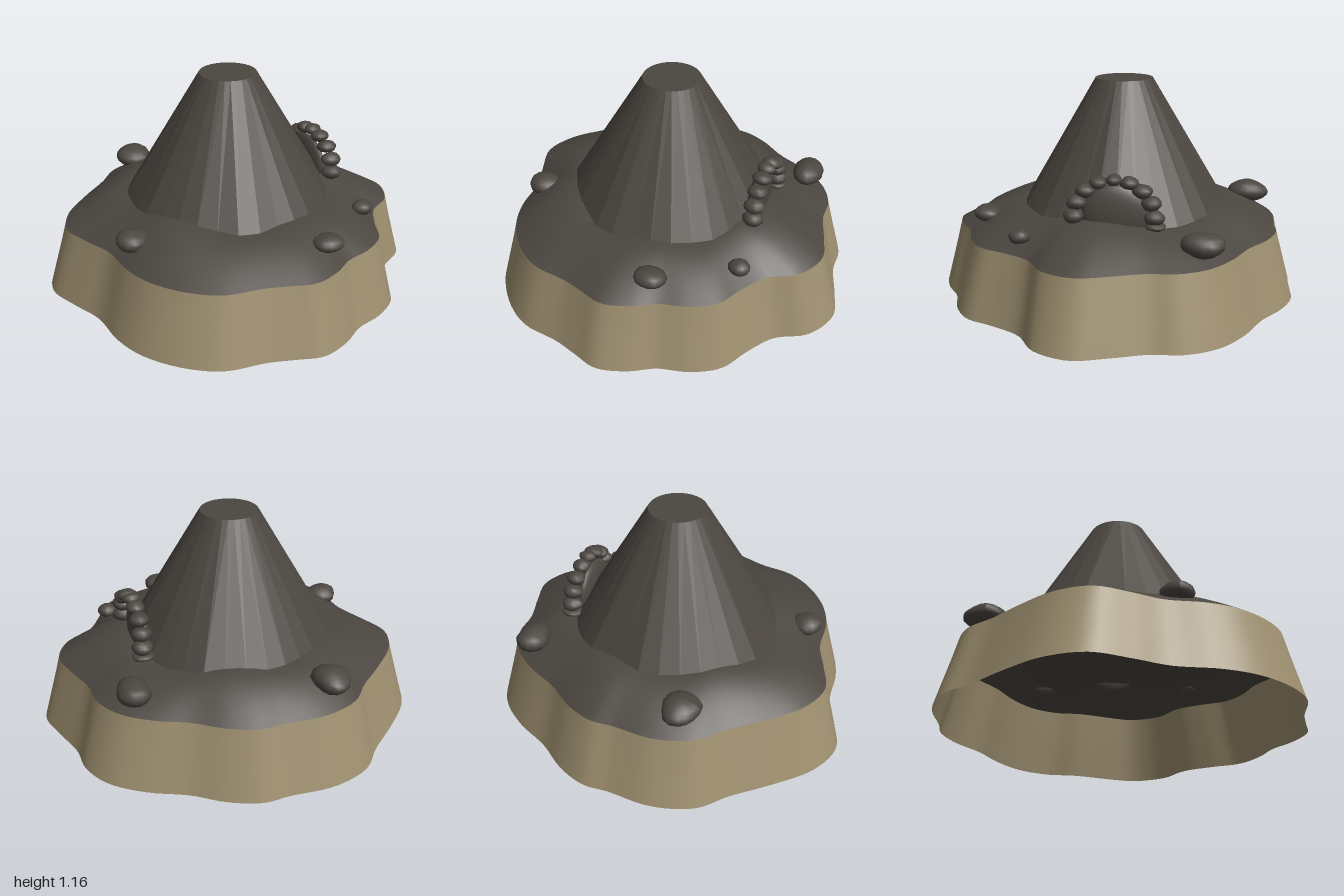
import * as THREE from 'three';

const SEG = 144;
const CX = -0.02, CZ = -0.045; // axis of the volcano

// Coastline control points (x, z), counter-clockwise seen from above
const coast = [
  0, -0.96, -0.235, -0.97, -0.45, -0.9, -0.58, -0.765, -0.77, -0.6, -0.93, -0.43, -1, -0.24,
  -0.945, -0.05, -0.877, 0.13, -0.86, 0.35, -0.8, 0.535, -0.66, 0.72, -0.5, 0.83, -0.29, 0.87,
  -0.155, 0.915, -0.02, 0.957, 0.14, 0.915, 0.27, 0.84, 0.43, 0.797, 0.57, 0.71, 0.65, 0.56,
  0.75, 0.41, 0.91, 0.31, 0.995, 0.13, 0.957, -0.05, 0.9, -0.24, 0.89, -0.4, 0.81, -0.56,
  0.65, -0.69, 0.46, -0.785, 0.3, -0.9, 0.14, -0.963,
];

function coastRing() {
  const pts = [];
  for (let i = 0; i < coast.length; i += 2) pts.push(new THREE.Vector3(coast[i], 0, coast[i + 1]));
  return new THREE.CatmullRomCurve3(pts, true).getPoints(SEG).slice(0, SEG);
}

// Smooth surface through closed rings of equal point count
function loft(rings) {
  const n = rings[0].length, pos = [], index = [];
  rings.forEach((ring) => ring.forEach((p) => pos.push(p.x, p.y, p.z)));
  for (let i = 0; i < rings.length - 1; i++) {
    for (let j = 0; j < n; j++) {
      const k = (j + 1) % n, a = i * n + j, b = i * n + k;
      index.push(a, b, b + n, a, b + n, a + n);
    }
  }
  const g = new THREE.BufferGeometry();
  g.setAttribute('position', new THREE.Float32BufferAttribute(pos, 3));
  g.setIndex(index);
  g.computeVertexNormals();
  return g;
}

export function createModel() {
  const group = new THREE.Group();
  const sand = new THREE.MeshStandardMaterial({ color: 0x9f9070, side: THREE.DoubleSide });
  sand.name = 'sand';
  const basalt = new THREE.MeshStandardMaterial({ color: 0x4b4640, side: THREE.DoubleSide });
  basalt.name = 'basalt';
  const facetedBasalt = basalt.clone();
  facetedBasalt.name = 'faceted basalt';
  facetedBasalt.flatShading = true;

  const add = (name, geometry, material, parent = group) => {
    const mesh = new THREE.Mesh(geometry, material);
    mesh.name = name;
    parent.add(mesh);
    return mesh;
  };

  // Sandy cliff: open wavy wall that narrows upwards
  const shore = coastRing();
  const wallRing = (s, y) => shore.map((p) => new THREE.Vector3(p.x * s, y, p.z * s));
  add('cliffWall', loft([wallRing(1, 0), wallRing(0.965, 0.125), wallRing(0.93, 0.25), wallRing(0.9, 0.365)]), sand);

  // Rocky ground: from the cliff edge up to a circle hidden in the cone
  const ground = [];
  for (let i = 0; i <= 10; i++) {
    const t = i / 10;
    ground.push(shore.map((p) => {
      const x = p.x * 0.9, z = p.z * 0.9;
      const a = Math.atan2(z - CZ, x - CX);
      const rise = 0.14 * Math.sin(t * Math.PI / 2) + 0.014 * t * (Math.sin(3 * a + 0.4) + Math.sin(5 * a + 1));
      return new THREE.Vector3(
        THREE.MathUtils.lerp(x, CX + 0.5 * Math.cos(a), t),
        0.365 + rise,
        THREE.MathUtils.lerp(z, CZ + 0.5 * Math.sin(a), t));
    }));
  }
  add('ground', loft(ground), basalt);

  // Volcano cone with a slightly uneven foot
  const cone = new THREE.CylinderGeometry(0.153, 0.575, 0.72, 32);
  const cp = cone.attributes.position;
  for (let i = 0; i < cp.count; i++) {
    if (cp.getY(i) > 0) continue;
    const a = Math.atan2(cp.getZ(i), cp.getX(i));
    const k = 1 + 0.012 * Math.sin(7 * a + 1) + 0.012 * Math.sin(11 * a);
    cp.setX(i, cp.getX(i) * k);
    cp.setZ(i, cp.getZ(i) * k);
  }
  add('volcanoCone', cone, facetedBasalt).position.set(CX, 0.8, CZ);

  // Lumpy boulders: centre, then half sizes
  const lump = (seed, detail) => {
    const g = new THREE.SphereGeometry(1, detail, Math.round(detail * 0.7));
    const p = g.attributes.position, v = new THREE.Vector3();
    for (let i = 0; i < p.count; i++) {
      v.fromBufferAttribute(p, i);
      v.multiplyScalar(1 + 0.05 * Math.sin(3 * v.x + seed) + 0.05 * Math.sin(4 * v.z + 2 * v.y + seed * 2));
      p.setXYZ(i, v.x, v.y, v.z);
    }
    g.computeVertexNormals();
    return g;
  };
  [
    [-0.31, 0.475, -0.73, 0.098, 0.06, 0.115],
    [0.64, 0.455, -0.48, 0.09, 0.06, 0.105],
    [-0.69, 0.45, 0.19, 0.083, 0.05, 0.088],
    [0.165, 0.445, 0.675, 0.083, 0.046, 0.072],
    [0.545, 0.443, 0.43, 0.057, 0.036, 0.055],
  ].forEach(([x, y, z, rx, ry, rz], i) => {
    const rock = add('boulder' + (i + 1), lump(i * 1.7, 14), basalt);
    rock.position.set(x, y, z);
    rock.scale.set(rx, ry, rz);
  });

  // Cave mouth on the left flank, framed by an arch of stones
  const cave = new THREE.Group();
  cave.name = 'cave';
  group.add(cave);
  const mouth = add('caveMouth', new THREE.SphereGeometry(1, 24, 16), basalt, cave);
  mouth.position.set(0.49, 0.55, -0.04);
  mouth.scale.set(0.045, 0.155, 0.165);
  for (let i = -1; i < 9; i++) {
    const a = Math.max(i, 0) * Math.PI / 8;
    const stone = add('archStone' + (i + 2), lump(i * 0.9, 12), basalt, cave);
    stone.position.set(0.52, 0.55 + 0.185 * Math.sin(a), -0.038 - 0.2 * Math.cos(a));
    if (i < 0) stone.position.set(0.52, 0.505, -0.245);
    const s = 0.042 + 0.01 * Math.abs(Math.cos(a));
    stone.scale.set(s * 1.1, i < 0 ? 0.02 : s * 0.7, s);
  }
  return group;
}
